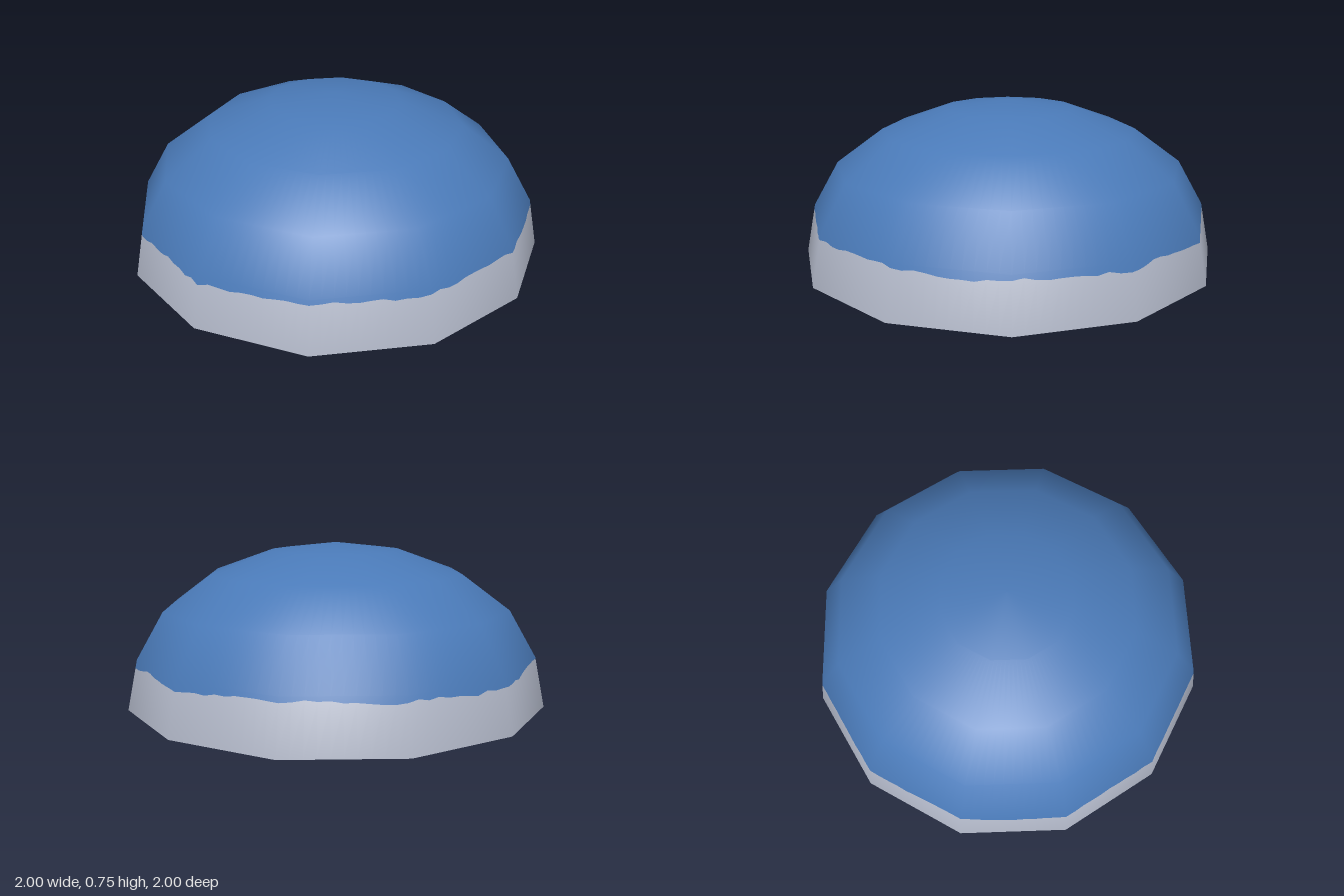
import * as THREE from 'three';

const material = (name, color) =>
  new THREE.MeshStandardMaterial({ name, color, side: THREE.DoubleSide });

// Dome profile (radius, height) from rim to apex
const PROFILE = [[1, 0], [0.953, 0.235], [0.83, 0.45], [0.608, 0.613], [0.315, 0.718], [0, 0.755]];
const SIDES = 12, SUB = 10, COLUMNS = SIDES * SUB, TURN = 0.012;

// Smooth outward normal at every profile point
const NORMALS = PROFILE.map((_, i) => {
  const n = new THREE.Vector2();
  for (const k of [i - 1, i]) {
    if (k < 0 || k >= PROFILE.length - 1) continue;
    const [r0, y0] = PROFILE[k], [r1, y1] = PROFILE[k + 1];
    n.add(new THREE.Vector2(y1 - y0, r0 - r1).normalize());
  }
  if (i === PROFILE.length - 1) n.set(0, 1);
  return n.normalize();
});

// Point and normal on the twelve-sided dome; t runs along the profile
function domePoint(column, t) {
  const k = Math.min(Math.floor(t), PROFILE.length - 2), f = t - k;
  const mix = (a, b) => a + (b - a) * f;
  const r = mix(PROFILE[k][0], PROFILE[k + 1][0]), y = mix(PROFILE[k][1], PROFILE[k + 1][1]);
  const nr = mix(NORMALS[k].x, NORMALS[k + 1].x), ny = mix(NORMALS[k].y, NORMALS[k + 1].y);
  const side = Math.floor(column / SUB), g = column / SUB - side;
  const a = TURN + side * Math.PI * 2 / SIDES, b = a + Math.PI * 2 / SIDES;
  const s = Math.sin(a) * (1 - g) + Math.sin(b) * g, c = Math.cos(a) * (1 - g) + Math.cos(b) * g;
  return { p: [r * s, y, r * c], n: new THREE.Vector3(nr * s, ny, nr * c).normalize().toArray() };
}

// Band of the dome between two edges given per column
function domeBand(low, high) {
  const position = [], normal = [], index = [];
  for (let i = 0; i <= COLUMNS; i++) {
    for (const edge of [low, high]) {
      const { p, n } = domePoint(i, edge(i));
      position.push(...p);
      normal.push(...n);
    }
    if (i < COLUMNS) {
      const a = i * 2;
      index.push(a, a + 2, a + 3, a, a + 3, a + 1);
    }
  }
  const geometry = new THREE.BufferGeometry();
  geometry.setAttribute('position', new THREE.Float32BufferAttribute(position, 3));
  geometry.setAttribute('normal', new THREE.Float32BufferAttribute(normal, 3));
  geometry.setIndex(index);
  return geometry;
}

export function createModel() {
  const model = new THREE.Group();
  const blue = material('sky blue', 0x4a7ab8), haze = material('haze grey', 0xb0b6c6);
  const brown = material('earth brown', 0x96603f), dark = material('charcoal', 0x242424);
  const grey = material('stone grey', 0x707276);

  const add = (parent, name, geometry, mat, x = 0, y = 0, z = 0) => {
    const mesh = new THREE.Mesh(geometry, mat);
    mesh.name = name;
    mesh.position.set(x, y, z);
    parent.add(mesh);
    return mesh;
  };
  const box = (parent, name, size, mat, x, y, z) =>
    add(parent, name, new THREE.BoxGeometry(...size), mat, x, y, z);

  let seed = 7;
  const random = () => (seed = (seed * 16807) % 2147483647) / 2147483647;

  // Ragged horizon between haze and sky
  const horizon = [];
  for (let i = 0, h = 0.87; i < COLUMNS; i++) {
    h += (0.87 - h) * 0.25 + (random() - 0.5) * 0.09;
    horizon.push(THREE.MathUtils.clamp(h, 0.74, 0.99));
  }
  const edge = i => horizon[i % COLUMNS];
  const dome = new THREE.Group();
  dome.name = 'skyDome';
  model.add(dome);
  add(dome, 'hazeBand', domeBand(() => 0, edge), haze);
  add(dome, 'skyLowerBand', domeBand(edge, () => 1), blue);
  for (let t = 1; t < PROFILE.length - 1; t++) {
    add(dome, 'skyBand', domeBand(() => t, () => t + 1), blue);
  }

  // Small scene sheltered inside the dome
  const scene = new THREE.Group();
  scene.name = 'innerScene';
  model.add(scene);

  // Long shallow earth mound, narrowing towards the back, with a ridged underside
  const mound = new THREE.SphereGeometry(1, 24, 6, 0, Math.PI * 2, Math.PI / 2, Math.PI / 2);
  const pos = mound.attributes.position;
  for (let i = 0; i < pos.count; i++) {
    const x = pos.getX(i), y = pos.getY(i), z = pos.getZ(i);
    const ridge = 1 + 0.05 * Math.cos(12 * Math.atan2(x, z));
    pos.setXYZ(i, x * 0.1 * (0.8 + 0.35 * z) * ridge, y * 0.035, z * 0.36);
  }
  mound.computeVertexNormals();
  add(scene, 'earthMound', mound, brown, -0.24, 0.2, -0.35).rotation.y = 0.1;

  // Dark hut and long walkway
  box(scene, 'hut', [0.18, 0.06, 0.12], dark, 0.19, 0.21, 0.02);
  box(scene, 'walkway', [0.46, 0.025, 0.04], dark, -0.05, 0.19, 0.24);
  for (let i = 0; i < 6; i++) {
    box(scene, 'walkwayPost', [0.02, 0.05, 0.06], dark, -0.26 + i * 0.085, 0.19, 0.24);
  }

  // Stone slab ringed by broken wall pieces
  box(scene, 'stoneSlab', [0.12, 0.015, 0.06], grey, -0.04, 0.2, -0.28);
  for (let i = 0; i < 5; i++) {
    const a = i * 1.26 + 0.4;
    box(scene, 'wallPiece', [0.07, 0.02, 0.018], dark,
      -0.06 + Math.sin(a) * 0.11, 0.2, -0.27 + Math.cos(a) * 0.11).rotation.y = a;
  }

  // Scattered rubble
  for (let i = 0; i < 9; i++) {
    const s = 0.015 + random() * 0.025;
    box(scene, 'rubble', [s, s * 0.7, s], dark,
      -0.05 + (random() - 0.5) * 0.2, 0.19, 0.1 + (random() - 0.5) * 0.16).rotation.y = random() * 3;
  }
  return model;
}
